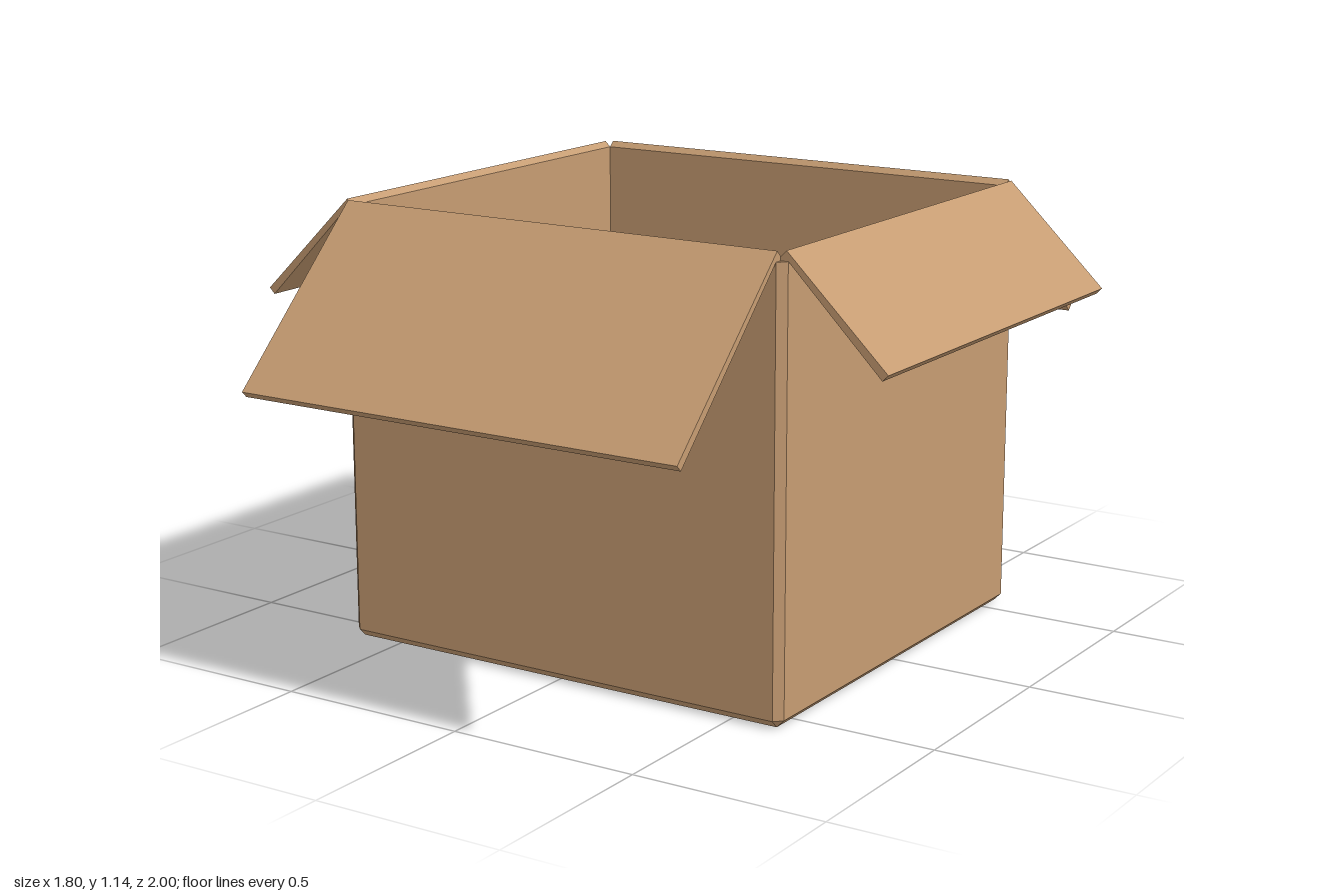
import * as THREE from 'three';
import { ConvexGeometry } from 'three/addons/geometries/ConvexGeometry.js';

const X = 0.62, Z = 0.57;   // inner half width and half depth
const T = 0.02;             // board thickness
const FOLD = 1.115;         // height of the flap creases

export function createModel() {
  const group = new THREE.Group();
  group.name = 'openCardboardBox';
  const card = new THREE.MeshStandardMaterial({ color: 0xc69c72, flatShading: true });
  const add = (name, geometry) => {
    const mesh = new THREE.Mesh(geometry, card);
    mesh.name = name;
    group.add(mesh);
    return mesh;
  };
  const toShape = (pts) => new THREE.Shape(pts.map(([a, b]) => new THREE.Vector2(a, b)));

  // Outline of the walls with bevelled corners
  const outline = [
    [X, -Z - T], [X + T, -Z], [X + T, Z], [X, Z + T],
    [-X, Z + T], [-X - T, Z], [-X - T, -Z], [-X, -Z - T],
  ];
  const inner = [[X, -Z], [X, Z], [-X, Z], [-X, -Z]];

  // Four walls as one ring
  const ring = toShape(outline);
  ring.holes.push(toShape(inner));
  const walls = new THREE.ExtrudeGeometry(ring, { depth: FOLD - T, bevelEnabled: false });
  walls.rotateX(-Math.PI / 2).translate(0, T, 0);
  add('walls', walls);

  // Floor, tapering to the inner rectangle on its underside
  add('floor', new ConvexGeometry([
    ...outline.map(([x, z]) => new THREE.Vector3(x, T, z)),
    ...inner.map(([x, z]) => new THREE.Vector3(x, 0, z)),
  ]));

  // Folded-out flap: crease profile swept along the wall's top edge
  const addFlap = (name, d, halfWidth, reach, angle) => {
    const drop = reach - d - 0.025;
    const profile = toShape([
      [d, FOLD], [d + T, FOLD],
      [reach - 0.015, 1.125 - drop], [reach, 1.14 - drop],
      [d + 0.015, 1.14], [d, 1.125],
    ]);
    const flap = new THREE.ExtrudeGeometry(profile, { depth: 2 * halfWidth, bevelEnabled: false });
    flap.translate(0, 0, -halfWidth);
    add(name, flap).rotation.y = angle;
  };
  addFlap('frontFlap', Z, X, 1, -Math.PI / 2);
  addFlap('backFlap', Z, X, 1, Math.PI / 2);
  addFlap('leftFlap', X, Z, 0.9, 0);
  addFlap('rightFlap', X, Z, 0.9, Math.PI);

  return group;
}
